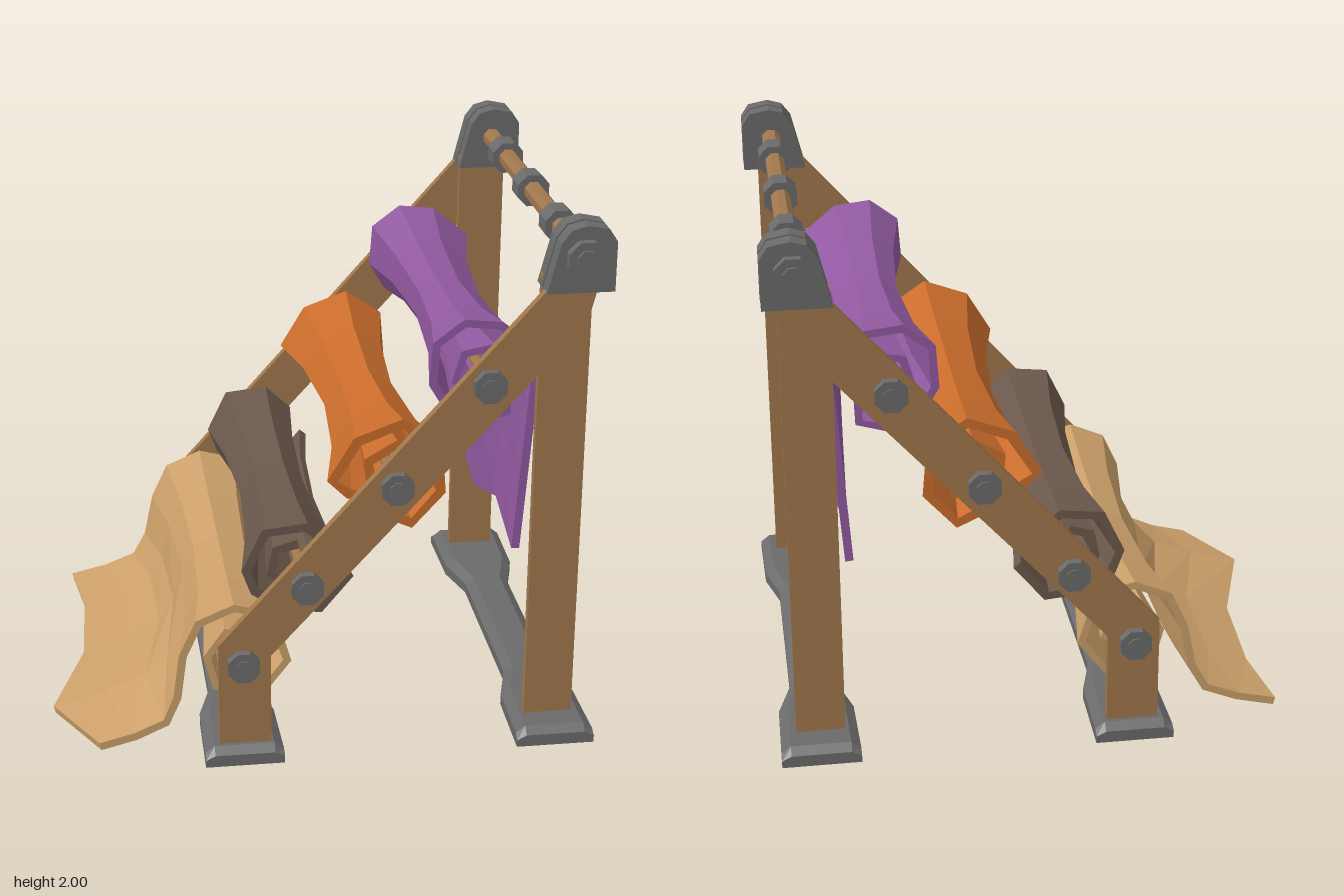
import * as THREE from 'three';

const mat = (name, color, flat = true) => {
  const m = new THREE.MeshStandardMaterial({ color, flatShading: flat });
  m.name = name;
  return m;
};

export function createModel() {
  const root = new THREE.Group();
  root.name = 'blanketRack';
  const wood = mat('wood', 0xa0774c);
  const metal = mat('grey metal', 0x6a6a6a);
  const purple = mat('purple cloth', 0x9159a0);
  const orange = mat('orange cloth', 0xc96c2b);
  const brown = mat('brown cloth', 0x6b584c);
  const tan = mat('tan cloth', 0xcb9f69);

  const add = (name, geo, material, x = 0, y = 0, z = 0) => {
    const mesh = new THREE.Mesh(geo, material);
    mesh.name = name;
    mesh.position.set(x, y, z);
    root.add(mesh);
    return mesh;
  };

  // Joins counter-clockwise rings of [x, y, z] that follow each other along +z, and caps both ends
  const loft = (rows) => {
    const pos = [];
    const quad = (a, b, c, d) => pos.push(...a, ...b, ...c, ...a, ...c, ...d);
    const n = rows[0].length;
    for (let j = 0; j < rows.length - 1; j++) {
      for (let i = 0; i < n; i++) {
        const k = (i + 1) % n;
        quad(rows[j][i], rows[j][k], rows[j + 1][k], rows[j + 1][i]);
      }
    }
    const first = rows[0], last = rows[rows.length - 1];
    for (let i = 0; i < n / 2 - 1; i++) {
      const p = n - 1 - i;
      quad(last[i], last[i + 1], last[p - 1], last[p]);
      quad(first[p], first[p - 1], first[i + 1], first[i]);
    }
    const g = new THREE.BufferGeometry();
    g.setAttribute('position', new THREE.Float32BufferAttribute(pos, 3));
    g.computeVertexNormals();
    return g;
  };

  // Flat board cut from an outline in the xy plane, centred on z
  const board = (pts, depth) => {
    const shape = new THREE.Shape(pts.map(([x, y]) => new THREE.Vector2(x, y)));
    return new THREE.ExtrudeGeometry(shape, { depth, bevelEnabled: false }).translate(0, 0, -depth / 2);
  };

  // Bar lying along z
  const bar = (r, length) =>
    new THREE.CylinderGeometry(r, r, length, 8).rotateX(Math.PI / 2).rotateZ(Math.PI / 8);

  // Outline of a bent strip of cloth: right side forward, left side back
  const strip = (path, thick) => {
    const right = [], left = [];
    path.forEach(([x, y], i) => {
      const a = path[Math.max(i - 1, 0)], b = path[Math.min(i + 1, path.length - 1)];
      const len = Math.hypot(b[0] - a[0], b[1] - a[1]);
      const nx = -(b[1] - a[1]) / len * thick / 2, ny = (b[0] - a[0]) / len * thick / 2;
      right.push([x - nx, y - ny, i]);
      left.unshift([x + nx, y + ny, i]);
    });
    return [...right, ...left];
  };

  // Rolled cloth: pinched toward the middle, with a loose tail whose hem is shifted row by row
  const cloth = ({ name, material, centre, path, thick, half, pinch, tail, hem }) => {
    const outline = strip(path, thick);
    const rows = [-1, -0.58, 0, 0.58, 1].map((t, j) => {
      const s = pinch + (1 - pinch) * t * t;
      return outline.map(([x, y, i]) => {
        const w = tail ? Math.min(1, i / tail) : 1;
        const k = 1 + (s - 1) * w;
        return [
          centre[0] + (x - centre[0]) * k + hem[j][0] * (1 - w),
          centre[1] + (y - centre[1]) * k + hem[j][1] * (1 - w),
          t * half,
        ];
      });
    });
    add(name, loft(rows), material);
  };

  // Feet: wide pads at the ends, a narrow strip between
  const footRow = (x, z, w, h) => [
    [x - w, 0, z], [x + w, 0, z], [x + w, h * 0.6, z],
    [x + w - 0.035, h, z], [x - w + 0.035, h, z], [x - w, h * 0.6, z],
  ];
  const footSteps = [[0.88, 0.145, 0.045], [0.85, 0.145, 0.07], [0.56, 0.14, 0.07], [0.38, 0.09, 0.065]];
  for (const [name, x] of [['frontFoot', -0.31], ['backFoot', 0.845]]) {
    const steps = [...footSteps.map(([z, w, h]) => [-z, w, h]), ...footSteps.slice().reverse()];
    add(name, loft(steps.map(([z, w, h]) => footRow(x, z, w, h))), metal);
  }

  // Side frames
  const slope = [[-0.4, 0.06], [-0.21, 0.06], [-0.21, 0.42], [0.895, 1.64], [0.93, 1.78], [0.76, 1.78], [-0.4, 0.47]];
  const post = [[0.75, 0.06], [0.93, 0.06], [0.93, 1.8], [0.75, 1.8]];
  const bracket = [[0.745, 1.76], [0.985, 1.76], [0.985, 1.94], [0.955, 1.985], [0.88, 2], [0.825, 1.985], [0.79, 1.94]];
  const rods = [[-0.31, 0.39], [-0.08, 0.69], [0.24, 1.06], [0.56, 1.43]];
  for (const side of [1, -1]) {
    add('slopingRail', board(slope, 0.035), wood, 0, 0, side * 0.817);
    add('tallPost', board(post, 0.035), wood, 0, 0, side * 0.738);
    add('outerBracket', board(bracket, 0.065), metal, 0, 0, side * 0.815);
    add('innerBracket', board(bracket, 0.065), metal, 0, 0, side * 0.735);
    add('topBolt', bar(0.07, 0.04), metal, 0.875, 1.885, side * 0.86);
    add('topBoltTip', bar(0.04, 0.05), metal, 0.875, 1.885, side * 0.866);
    for (const [x, y] of rods) {
      add('bolt', bar(0.062, 0.04), metal, x, y, side * 0.846);
      add('boltTip', bar(0.033, 0.05), metal, x, y, side * 0.848);
    }
  }

  // Cross rods and the collars on the top one
  for (const [x, y] of rods) add('crossRod', bar(0.021, 1.66), wood, x, y);
  add('topRod', bar(0.037, 1.66), wood, 0.875, 1.885);
  for (const z of [-0.445, 0, 0.445]) add('collar', bar(0.064, 0.1), metal, 0.875, 1.885, z);

  // Cloth rolls, each path running from the loose end inward
  const still = Array(5).fill([0, 0]);
  cloth({
    name: 'purpleRoll', material: purple, centre: rods[3], thick: 0.03, half: 0.68, pinch: 0.6, tail: 3,
    hem: [[0, 0], [0, 0.07], [0, -0.05], [0, 0.08], [0, 0]],
    path: [[0.71, 0.72], [0.73, 1.0], [0.75, 1.28], [0.765, 1.48], [0.63, 1.59], [0.5, 1.605], [0.4, 1.53],
      [0.39, 1.38], [0.45, 1.28], [0.56, 1.235], [0.66, 1.26], [0.665, 1.42], [0.6, 1.51], [0.5, 1.49],
      [0.47, 1.39], [0.55, 1.33]],
  });
  cloth({
    name: 'orangeRoll', material: orange, centre: rods[2], thick: 0.038, half: 0.693, pinch: 0.62, tail: 0, hem: still,
    path: [[0.13, 0.94], [0.32, 0.85], [0.425, 0.97], [0.41, 1.15], [0.28, 1.24], [0.12, 1.18], [0.03, 1.03],
      [0.09, 0.98], [0.21, 0.94], [0.33, 0.97], [0.35, 1.08], [0.26, 1.16], [0.16, 1.1], [0.17, 1.03]],
  });
  cloth({
    name: 'brownRoll', material: brown, centre: rods[1], thick: 0.035, half: 0.67, pinch: 0.7, tail: 0, hem: still,
    path: [[0.1, 0.65], [-0.01, 0.515], [-0.15, 0.53], [-0.25, 0.6], [-0.28, 0.68], [-0.21, 0.83], [-0.06, 0.845],
      [0.03, 0.76], [0, 0.64], [-0.1, 0.6], [-0.19, 0.67], [-0.17, 0.76], [-0.09, 0.78]],
  });
  cloth({
    name: 'tanRoll', material: tan, centre: rods[0], thick: 0.03, half: 0.71, pinch: 0.68, tail: 4,
    hem: [[-0.02, 0], [0.02, 0], [0, 0], [-0.13, 0], [0.03, 0]],
    path: [[-0.86, 0.016], [-0.72, 0.05], [-0.6, 0.1], [-0.55, 0.2], [-0.52, 0.37], [-0.46, 0.5], [-0.33, 0.555],
      [-0.19, 0.52], [-0.135, 0.33], [-0.25, 0.18], [-0.4, 0.24], [-0.43, 0.36], [-0.36, 0.46], [-0.25, 0.44],
      [-0.22, 0.34]],
  });

  return root;
}
